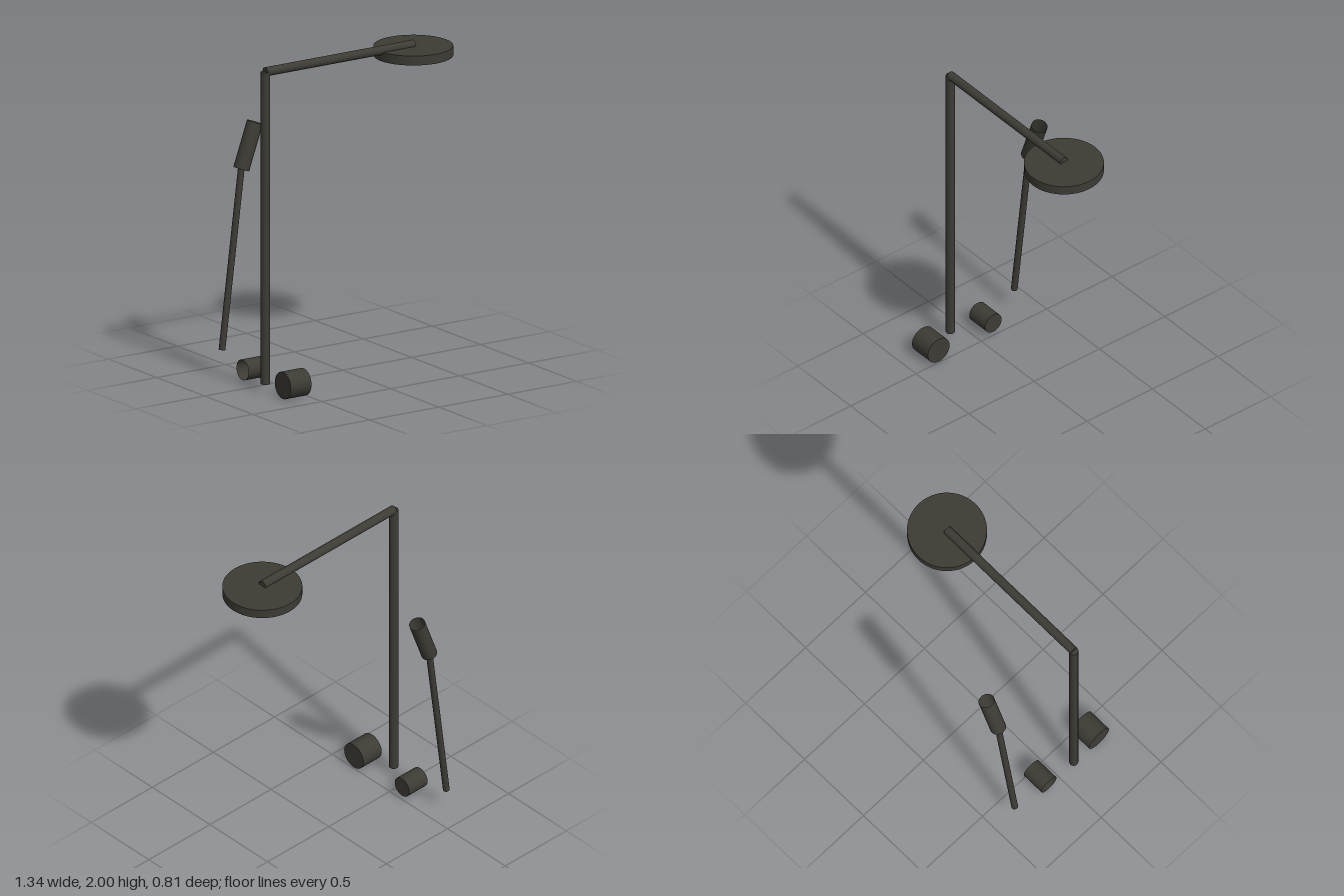
import * as THREE from 'three';
import { mergeGeometries } from 'three/addons/utils/BufferGeometryUtils.js';

const UP = new THREE.Vector3(0, 1, 0);

export function createModel() {
  const darkMetal = new THREE.MeshStandardMaterial({ color: 0x3c3b34, side: THREE.DoubleSide });
  darkMetal.name = 'darkMetal';
  const group = new THREE.Group();
  group.name = 'showerSet';

  // Round bar between two points; openEnd leaves the far end uncapped
  function bar(name, from, to, radius, segments = 32, openEnd = false) {
    const a = new THREE.Vector3(...from);
    const dir = new THREE.Vector3(...to).sub(a);
    const length = dir.length();
    let geometry = new THREE.CylinderGeometry(radius, radius, length, segments, 1, openEnd);
    geometry.translate(0, length / 2, 0);
    if (openEnd) {
      const cap = new THREE.CircleGeometry(radius, segments).rotateX(Math.PI / 2);
      geometry = mergeGeometries([geometry, cap]);
    }
    const mesh = new THREE.Mesh(geometry, darkMetal);
    mesh.name = name;
    mesh.position.copy(a);
    mesh.quaternion.setFromUnitVectors(UP, dir.normalize());
    group.add(mesh);
  }

  // Riser pipe, overhead arm and rain head
  const pipeZ = 0.12, armY = 1.9725, pipeR = 0.0275;
  bar('riserPipe', [-0.645, 0.047, pipeZ], [-0.645, armY, pipeZ], pipeR);
  bar('overheadArm', [-0.645, armY, pipeZ], [0.43, armY, pipeZ], pipeR);
  bar('rainHead', [0.43, 1.907, pipeZ], [0.43, 1.965, pipeZ], 0.238, 64);

  // Control knobs
  bar('largeKnob', [-0.657, 0.083, 0.32], [-0.507, 0.083, 0.32], 0.083, 40);
  bar('smallKnob', [-0.507, 0.084, -0.098], [-0.657, 0.084, -0.098], 0.063, 40, true);

  // Hand shower: thin rod with a tilted, hollow handset
  const handZ = -0.355;
  bar('handShowerRod', [-0.627, 0.146, handZ], [-0.487, 1.245, handZ], 0.02);
  bar('handset', [-0.487, 1.24, handZ], [-0.388, 1.515, handZ], 0.049, 32, true);

  return group;
}
